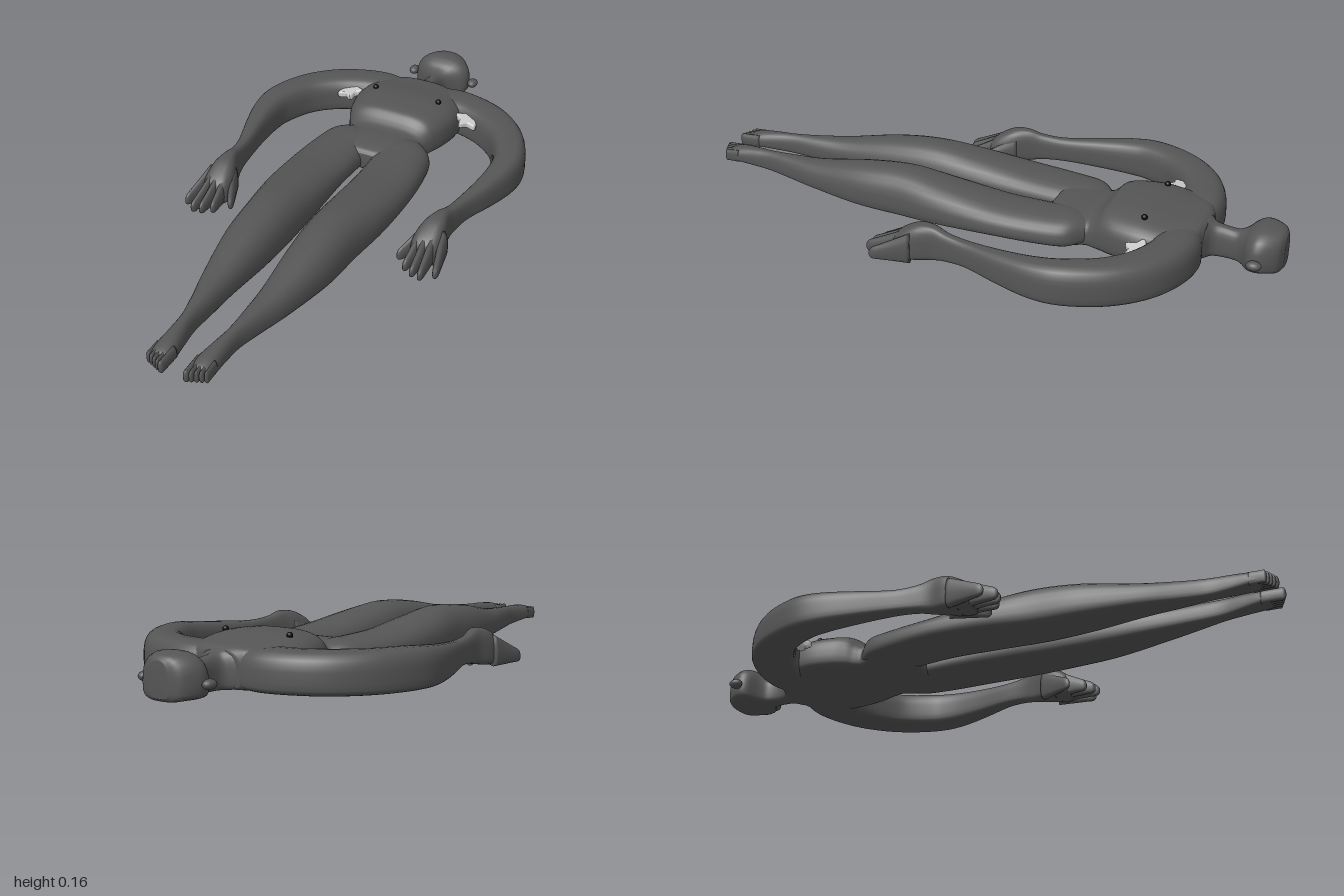
import * as THREE from 'three';

const skin = new THREE.MeshStandardMaterial({ color: 0x555555 });
const black = new THREE.MeshStandardMaterial({ color: 0x080808 });
const grey = new THREE.MeshStandardMaterial({ color: 0xcccccc });

// Lofts flat-bottomed rings along a path in the ground plane.
// Each section is [x, z, halfWidth, yBottom, yTop]; low = height share below the widest line.
function loft(sections, { side = 1, low = 0.3, power = 0.75, steps = 6, sides = 28 } = {}) {
  const path = new THREE.CatmullRomCurve3(
    sections.map(([x, z, w]) => new THREE.Vector3(x * side, w, z)), false, 'catmullrom');
  const heights = new THREE.CatmullRomCurve3(
    sections.map(s => new THREE.Vector3(0, s[3], s[4])), false, 'catmullrom');
  const n = (sections.length - 1) * steps;
  const pos = [], idx = [];
  const bend = (v, p) => Math.sign(v) * Math.abs(v) ** p;
  for (let i = 0; i <= n; i++) {
    const c = path.getPoint(i / n), h = heights.getPoint(i / n);
    const a = path.getPoint(Math.max(0, i / n - 0.01)), b = path.getPoint(Math.min(1, i / n + 0.01));
    const dx = b.x - a.x, dz = b.z - a.z, len = Math.hypot(dx, dz) || 1;
    const mid = h.y + (h.z - h.y) * low;
    for (let j = 0; j < sides; j++) {
      const t = j / sides * Math.PI * 2, s = Math.sin(t);
      const w = c.y * bend(Math.cos(t), power);
      const y = s > 0 ? mid + (h.z - mid) * bend(s, power) : mid + (mid - h.y) * bend(s, 0.5);
      pos.push(c.x + dz / len * w, y, c.z - dx / len * w);
    }
  }
  for (let i = 0; i < n; i++) for (let j = 0; j < sides; j++) {
    const a = i * sides + j, b = i * sides + (j + 1) % sides;
    idx.push(a, b, a + sides, b, b + sides, a + sides);
  }
  // End caps
  [0, n].forEach((ring, k) => {
    const c = path.getPoint(k), h = heights.getPoint(k), m = pos.length / 3;
    pos.push(c.x, (h.y + h.z) / 2, c.z);
    for (let j = 0; j < sides; j++) {
      const a = ring * sides + j, b = ring * sides + (j + 1) % sides;
      idx.push(m, k ? a : b, k ? b : a);
    }
  });
  const g = new THREE.BufferGeometry();
  g.setAttribute('position', new THREE.Float32BufferAttribute(pos, 3));
  g.setIndex(idx);
  g.computeVertexNormals();
  return g;
}

function add(parent, name, geometry, material = skin) {
  const mesh = new THREE.Mesh(geometry, material);
  mesh.name = name;
  parent.add(mesh);
  return mesh;
}

// A short tapering digit from a base to a tip, both [x, z, halfWidth, yBottom, yTop]
function digit(base, tip, side) {
  const at = (k, w) => base.map((v, i) => (v + (tip[i] - v) * k) * (i === 2 ? w : 1));
  const end = at(1, 0.25), mid = (tip[3] + tip[4]) / 2;
  end[3] = mid - 0.008;
  end[4] = mid + 0.008;
  return loft([at(0, 1), at(0.35, 1), at(0.7, 1), at(0.92, 0.85), end],
    { side, low: 0.45, power: 1, steps: 4, sides: 14 });
}

// Puffy five-pointed star lying flat
function starGeometry() {
  const pts = [];
  for (let i = 0; i < 10; i++) {
    const a = i * Math.PI / 5 + Math.PI / 2, r = i % 2 ? 0.025 : 0.043;
    pts.push(new THREE.Vector2(Math.cos(a) * r, Math.sin(a) * r));
  }
  const outline = new THREE.Shape();
  outline.setFromPoints(new THREE.SplineCurve([...pts, pts[0]]).getPoints(50));
  const g = new THREE.ExtrudeGeometry(outline, {
    depth: 0.008, bevelEnabled: true, bevelThickness: 0.008, bevelSize: 0.006, bevelSegments: 4 });
  g.translate(0, 0, -0.004);
  g.rotateX(-Math.PI / 2);
  return g;
}

export function createModel() {
  const model = new THREE.Group();
  model.name = 'lyingFigure';

  // Head and neck
  add(model, 'headAndNeck', loft([
    [0, -1.0, 0.035, 0.02, 0.125], [0, -0.985, 0.072, 0.01, 0.14], [0, -0.95, 0.098, 0.01, 0.148],
    [0, -0.92, 0.105, 0.01, 0.147], [0, -0.895, 0.092, 0.01, 0.135], [0, -0.872, 0.056, 0.01, 0.118],
    [0, -0.845, 0.034, 0.01, 0.11], [0, -0.8, 0.03, 0.01, 0.115], [0, -0.77, 0.042, 0.01, 0.12],
    [0, -0.745, 0.085, 0.01, 0.13], [0, -0.7, 0.1, 0.01, 0.135],
  ], { low: 0.35 }));

  // Chest, narrow waist and pelvis
  add(model, 'torso', loft([
    [0, -0.755, 0.08, 0.015, 0.125], [0, -0.73, 0.15, 0.01, 0.138], [0, -0.67, 0.19, 0.01, 0.147],
    [0, -0.58, 0.2, 0.01, 0.161], [0, -0.5, 0.187, 0.01, 0.162], [0, -0.45, 0.168, 0.01, 0.155],
    [0, -0.42, 0.153, 0.01, 0.128], [0, -0.39, 0.147, 0.012, 0.113], [0, -0.34, 0.175, 0.015, 0.114],
    [0, -0.29, 0.175, 0.02, 0.113], [0, -0.25, 0.14, 0.025, 0.105], [0, -0.235, 0.09, 0.035, 0.09],
  ], { low: 0.35, power: 0.65, sides: 40 }));

  for (const side of [1, -1]) {
    const half = new THREE.Group();
    half.name = side > 0 ? 'leftSide' : 'rightSide';
    model.add(half);

    // Ear knob on a short stalk
    const ear = add(half, 'ear', new THREE.SphereGeometry(0.022, 20, 14));
    ear.scale.set(0.85, 0.7, 1.1);
    ear.position.set(side * 0.121, 0.062, -0.925);
    const stalk = add(half, 'earStalk', new THREE.CylinderGeometry(0.011, 0.011, 0.04, 12));
    stalk.rotation.z = Math.PI / 2;
    stalk.position.set(side * 0.1, 0.06, -0.925);

    // Curved arm ending in a palm
    add(half, 'arm', loft([
      [0.06, -0.69, 0.06, 0.015, 0.13], [0.14, -0.692, 0.073, 0.01, 0.138], [0.23, -0.675, 0.073, 0.01, 0.138],
      [0.32, -0.63, 0.07, 0.01, 0.138], [0.4, -0.55, 0.063, 0.01, 0.138], [0.45, -0.44, 0.057, 0.01, 0.137],
      [0.458, -0.35, 0.05, 0.012, 0.13], [0.442, -0.24, 0.038, 0.02, 0.12], [0.415, -0.12, 0.026, 0.03, 0.112],
      [0.402, -0.04, 0.023, 0.027, 0.118], [0.394, 0.01, 0.028, 0.018, 0.132], [0.389, 0.06, 0.043, 0.01, 0.13],
      [0.385, 0.105, 0.05, 0.004, 0.11], [0.384, 0.14, 0.044, 0.004, 0.085], [0.384, 0.155, 0.02, 0.015, 0.06],
    ], { side, power: 0.65 }));

    // Fingers and thumb: base x, base z, tip x, tip z
    [[0.428, 0.08, 0.456, 0.21], [0.405, 0.1, 0.415, 0.24], [0.383, 0.1, 0.385, 0.235],
      [0.362, 0.095, 0.352, 0.215], [0.362, 0.05, 0.308, 0.168]].forEach(([bx, bz, tx, tz], i) => {
      add(half, i < 4 ? 'finger' : 'thumb',
        digit([bx, bz, 0.017, 0.004, 0.108], [tx, tz, 0.01, 0.008, 0.042], side));
    });

    // Leg from hip to foot
    add(half, 'leg', loft([
      [0.1, -0.4, 0.035, 0.035, 0.095], [0.105, -0.34, 0.088, 0.025, 0.115], [0.116, -0.25, 0.1, 0.025, 0.118],
      [0.125, -0.1, 0.104, 0.028, 0.125], [0.122, 0.08, 0.102, 0.02, 0.148], [0.113, 0.24, 0.091, 0.012, 0.165],
      [0.11, 0.4, 0.081, 0.014, 0.152], [0.1, 0.58, 0.056, 0.025, 0.12], [0.087, 0.7, 0.037, 0.03, 0.109],
      [0.078, 0.79, 0.025, 0.035, 0.104], [0.072, 0.86, 0.029, 0.04, 0.102], [0.068, 0.92, 0.035, 0.045, 0.097],
      [0.067, 0.955, 0.034, 0.048, 0.088], [0.067, 0.965, 0.02, 0.055, 0.078],
    ], { side, power: 0.85 }));

    // Toes, the inner one largest
    for (let i = 0; i < 5; i++) {
      const x = 0.041 + i * 0.0135, w = i ? 0.0075 : 0.01;
      add(half, 'toe', digit([x, 0.92, w, 0.046, 0.09], [x + 0.001, 0.998 - i * 0.006, w, 0.045, 0.086], side));
    }

    // Star tucked into the armpit
    const star = add(half, 'armpitStar', starGeometry(), grey);
    star.position.set(side * 0.235, 0.1, -0.597);
    star.rotation.set(0.1, side * 0.25, side * -0.15);

    // Nipple
    const nipple = add(half, 'nipple', new THREE.SphereGeometry(0.01, 14, 10), black);
    nipple.position.set(side * 0.124, 0.157, -0.578);
  }
  return model;
}
